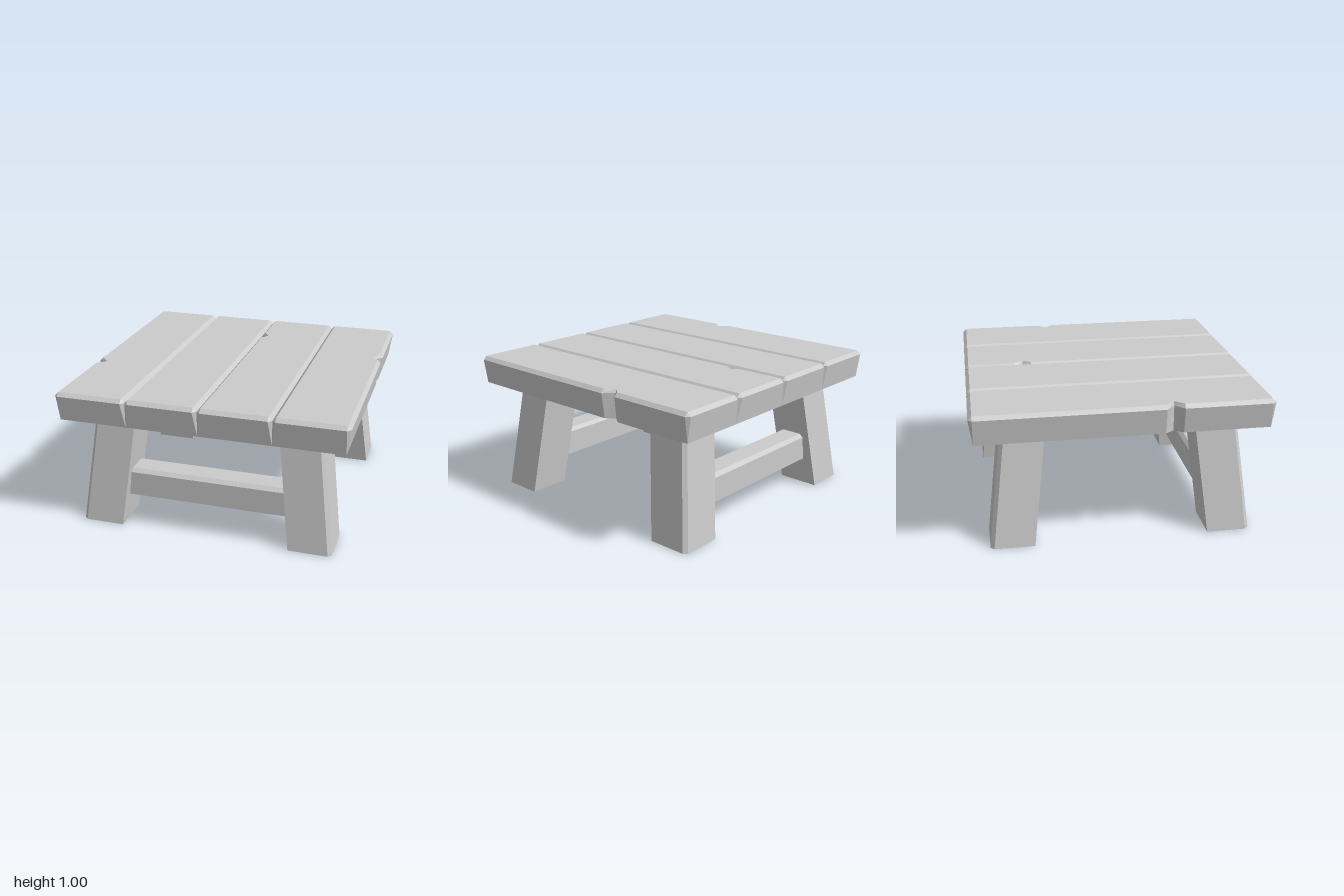
import * as THREE from 'three';

const BEVEL = 0.025;

// Skin a stack of matching outlines. Each level is { y, pts: [[x, z], ...] },
// listed bottom to top, anticlockwise as seen from above.
function loft(levels, name) {
  const pos = [];
  const tri = (a, b, c) => {
    const [A, B, C] = [a, b, c].map((p) => new THREE.Vector3(...p));
    const area = B.clone().sub(A).cross(C.clone().sub(A)).length();
    if (area > 1e-7) pos.push(...a, ...b, ...c);
  };
  const rings = levels.map(({ y, pts }) => pts.map(([x, z]) => [x, y, z]));
  for (let k = 0; k < rings.length - 1; k++) {
    const lo = rings[k], hi = rings[k + 1];
    lo.forEach((p, i) => {
      const j = (i + 1) % lo.length;
      tri(p, lo[j], hi[j]);
      tri(p, hi[j], hi[i]);
    });
  }
  const cap = (ring, up) => {
    const contour = ring.map(([x, , z]) => new THREE.Vector2(x, -z));
    for (const [a, b, c] of THREE.ShapeUtils.triangulateShape(contour, [])) {
      if (up) tri(ring[a], ring[b], ring[c]);
      else tri(ring[a], ring[c], ring[b]);
    }
  };
  cap(rings[rings.length - 1], true);
  cap(rings[0], false);

  const geo = new THREE.BufferGeometry();
  geo.setAttribute('position', new THREE.Float32BufferAttribute(pos, 3));
  geo.computeVertexNormals();
  const mesh = new THREE.Mesh(geo, new THREE.MeshStandardMaterial({ color: 0xcccccc, flatShading: true }));
  mesh.name = name;
  return mesh;
}

// One outline of a plank; corner cut c, optional V notch in a long edge
function plankOutline(xl, xr, zEnd, c, notch, depth) {
  const right = [], left = [];
  if (notch) {
    const { side, z, half } = notch;
    if (side > 0) right.push([xr, z + half], [xr - depth, z], [xr, z - half]);
    else left.push([xl, z - half], [xl + depth, z], [xl, z + half]);
  }
  return [
    [xl, zEnd - c], [xl + c, zEnd], [xr - c, zEnd], [xr, zEnd - c],
    ...right,
    [xr, -zEnd + c], [xr - c, -zEnd], [xl + c, -zEnd], [xl, -zEnd + c],
    ...left,
  ];
}

// Bevelled plank, its ends and the outer table edges leaning in towards the bottom
function plank(i, notch) {
  const xl = -1 + i * 0.5, xr = xl + 0.5;
  const bl = i === 0 ? xl + BEVEL : xl;
  const br = i === 3 ? xr - BEVEL : xr;
  const d = notch ? notch.depth : 0;
  const inset = 1 - BEVEL;
  // the notch tip stays upright below the bevel, even where the edge leans
  const lean = notch && (bl !== xl || br !== xr) ? BEVEL : 0;
  return loft([
    { y: 0.8, pts: plankOutline(bl, br, inset, 0, notch, d - 0.015 - lean) },
    { y: inset, pts: plankOutline(xl, xr, 1, BEVEL, notch, d - 0.015) },
    { y: 1, pts: plankOutline(xl + BEVEL, xr - BEVEL, inset, 0, notch, d - BEVEL) },
  ], 'topPlank');
}

// Splayed square leg with its outer corner chamfered
function leg(sx, sz) {
  const outline = (inner, outer) => {
    const pts = [
      [inner, inner], [inner, outer], [outer - BEVEL, outer],
      [outer, outer - BEVEL], [outer, inner],
    ].map(([x, z]) => [sx * x, sz * z]);
    return sx * sz > 0 ? pts : pts.reverse();
  };
  return loft([
    { y: 0, pts: outline(0.6, 0.9) },
    { y: 0.8, pts: outline(0.505, 0.8) },
  ], 'leg');
}

// Rail between two legs, with bevelled top edges
function stretcher(sz) {
  const rect = (halfZ) => {
    const z = sz * 0.7;
    return [[-0.68, z + halfZ], [0.68, z + halfZ], [0.68, z - halfZ], [-0.68, z - halfZ]];
  };
  return loft([
    { y: 0.2, pts: rect(0.1) },
    { y: 0.375, pts: rect(0.1) },
    { y: 0.4, pts: rect(0.1 - BEVEL) },
  ], 'stretcher');
}

export function createModel() {
  const model = new THREE.Group();
  model.name = 'plankTable';

  // Table top: four planks, three of them chipped
  const notches = [
    { side: -1, z: 0.325, half: 0.06, depth: 0.085 },
    null,
    { side: -1, z: -0.58, half: 0.06, depth: 0.065 },
    { side: 1, z: -0.325, half: 0.06, depth: 0.085 },
  ];
  const top = new THREE.Group();
  top.name = 'tableTop';
  notches.forEach((n, i) => top.add(plank(i, n)));
  model.add(top);

  // Legs and rails
  for (const sz of [1, -1]) {
    for (const sx of [1, -1]) model.add(leg(sx, sz));
    model.add(stretcher(sz));
  }
  return model;
}
